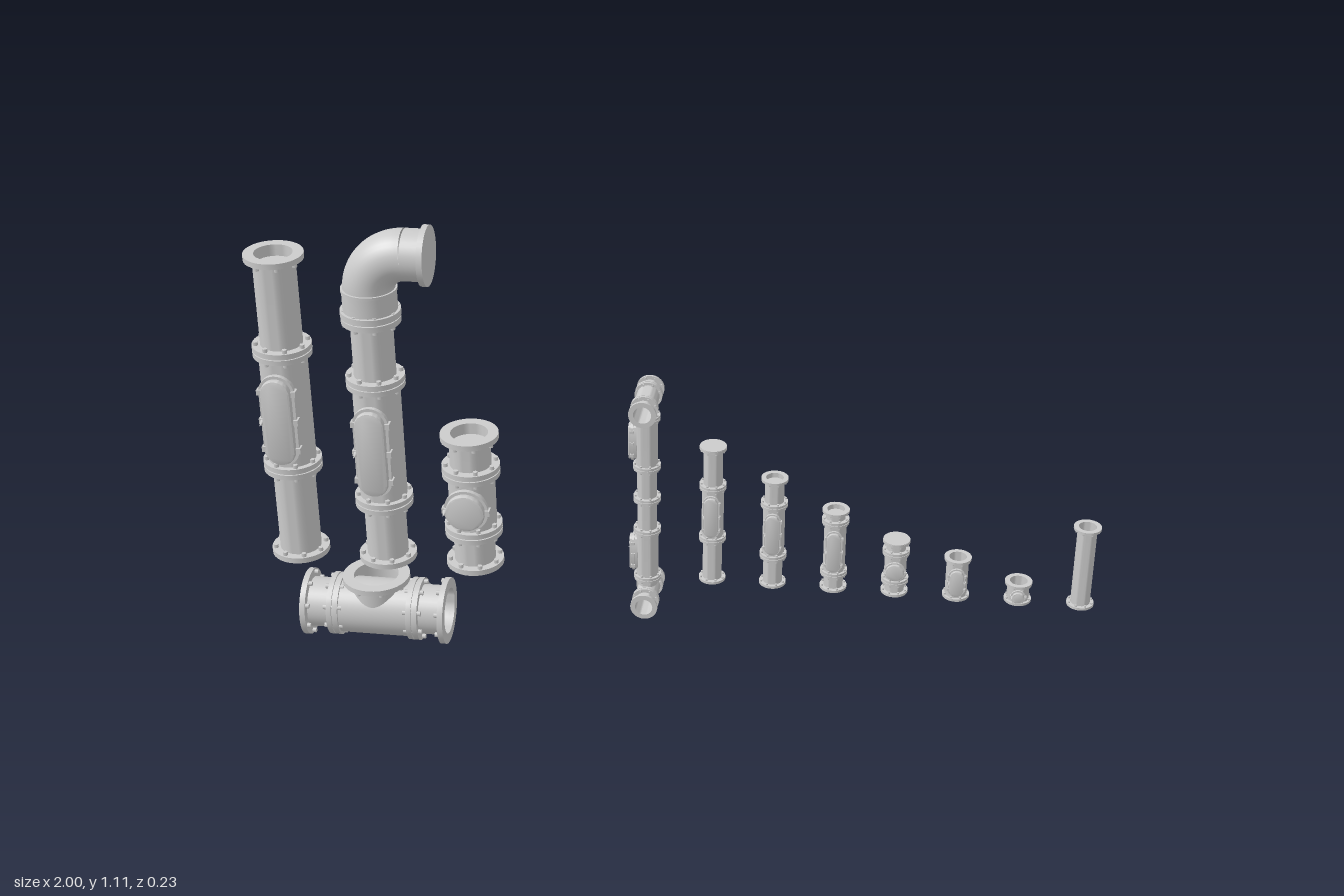
import * as THREE from 'three';
import { toCreasedNormals } from 'three/addons/utils/BufferGeometryUtils.js';

const steel = new THREE.MeshStandardMaterial({ color: 0xcccccc, side: THREE.DoubleSide });
const SMALL = 0.46; // small pipes relative to the large ones
const Z = -0.033;

function add(parent, name, geo, x = 0, y = 0, z = 0) {
  const m = new THREE.Mesh(geo, steel);
  m.name = name;
  m.position.set(x, y, z);
  parent.add(m);
  return m;
}

// Hollow ring or tube between two heights
function tube(r, inner, y0, y1) {
  const pts = [[inner, y0], [r, y0], [r, y1], [inner, y1], [inner, y0]];
  return toCreasedNormals(new THREE.LatheGeometry(pts.map(p => new THREE.Vector2(...p)), 36), 0.6);
}

// Ring of bolts sticking out of a flange
function bolts(parent, s, radius, y, length, count = 8) {
  for (let i = 0; i < count; i++) {
    const a = (i + 0.5) / count * Math.PI * 2;
    add(parent, 'bolt', new THREE.CylinderGeometry(0.006 * s, 0.006 * s, length, 6),
      Math.cos(a) * radius, y, Math.sin(a) * radius);
  }
}

// Straight pipe along y with end flanges, bolted joints and wider body sections
function run(name, s, length, { joints = [], bodies = [], r = 0.05, inner = 0.045, flange = 0.07,
  jointFlange = flange, bodyR = 0.057, top = true, bottom = true } = {}) {
  const g = new THREE.Group();
  g.name = name;
  const t = 0.014 * s;
  add(g, 'pipe', tube(r * s, inner * s, 0, length));
  for (const [a, b] of bodies) add(g, 'bodySection', tube(bodyR * s, r * s, a, b));
  const ends = [];
  if (bottom) ends.push([0, 1]);
  if (top) ends.push([length, -1]);
  for (const [y, d] of ends) {
    add(g, 'endFlange', tube(flange * s, inner * s, Math.min(y, y + d * t), Math.max(y, y + d * t)));
    bolts(g, s, (flange - 0.009) * s, y + d * 0.012 * s, 0.022 * s);
  }
  for (const y of joints) {
    add(g, 'jointFlange', tube(jointFlange * s, r * s, y - t, y - t * 0.1));
    add(g, 'jointFlange', tube(jointFlange * s, r * s, y + t * 0.1, y + t));
    add(g, 'gasket', tube((jointFlange - 0.004) * s, r * s, y - t * 0.1, y + t * 0.1));
    bolts(g, s, (jointFlange - 0.009) * s, y, 0.046 * s);
  }
  return g;
}

function stadium(w, h) {
  const k = Math.max(h - w, 0), sh = new THREE.Shape();
  sh.absarc(0, k, w, 0, Math.PI);
  sh.absarc(0, -k, w, Math.PI, Math.PI * 2);
  sh.closePath();
  return sh;
}

// Raised inspection cover facing +z; h is its half height
function hatch(parent, s, y, h, w = 0.043) {
  const g = new THREE.Group();
  g.name = 'inspectionHatch';
  g.position.y = y;
  parent.add(g);
  const layer = (name, inset, z0, z1, bevel) => {
    const geo = new THREE.ExtrudeGeometry(stadium(w * s - inset * s, h - inset * s), {
      depth: (z1 - z0 - bevel) * s, curveSegments: 14, bevelEnabled: bevel > 0,
      bevelThickness: bevel * s, bevelSize: bevel * s, bevelOffset: -bevel * s, bevelSegments: 2
    });
    add(g, name, toCreasedNormals(geo, 0.6), 0, 0, z0 * s);
  };
  layer('neck', 0.008, 0.046, 0.07, 0);
  layer('rim', 0, 0.064, 0.075, 0);
  layer('cover', 0.007, 0.074, 0.09, 0.005);
  // Clamps along both long edges, and a handle on the right edge
  const k = Math.max(h - w * s, 0);
  for (const sx of [-1, 1]) for (const sy of [-1, 0, 1]) {
    if (k === 0 && sy !== 0) continue;
    add(g, 'clamp', new THREE.BoxGeometry(0.012 * s, 0.014 * s, 0.02 * s), sx * (w - 0.002) * s, sy * k, 0.07 * s);
  }
  const handle = add(g, 'handle', new THREE.ConeGeometry(0.007 * s, 0.03 * s, 8), -(w - 0.005) * s, 0, 0.09 * s);
  handle.rotation.x = Math.PI / 2;
  return g;
}

function cap(parent, r, y) {
  add(parent, 'closingPlate', new THREE.CylinderGeometry(r, r, 0.003, 32), 0, y, 0);
}

// Upright pipe with one hatch
function station(root, { name, s, x, top, joints, hatchY, hatchH, hatchW, plate }) {
  const len = top - 0.235, local = joints.map(y => y - 0.235);
  const bodies = hatchY === undefined ? [] : [local.length ? local : [0, len]];
  const g = run(name, s, len, { joints: local, bodies });
  g.position.set(x, 0.235, Z);
  if (hatchY !== undefined) hatch(g, s, hatchY - 0.235, hatchH, hatchW);
  if (plate === 'flush') cap(g, 0.069 * s, len);
  if (plate === 'sunk') cap(g, 0.047 * s, len - 0.03 * s);
  root.add(g);
  return g;
}

// Tee lying along x with a flanged outlet on top
function tee(root) {
  const g = new THREE.Group();
  g.name = 'teePiece';
  g.position.set(-0.745, 0.084, Z);
  const main = run('teeRun', 1, 0.36, { joints: [0.08, 0.28], bodies: [[0.08, 0.28]], r: 0.062,
    inner: 0.057, flange: 0.083, jointFlange: 0.078, bodyR: 0.071 });
  main.rotation.z = -Math.PI / 2;
  main.position.x = -0.18;
  g.add(main);
  // Outlet neck, its lower edge fitted to the round body
  const neck = new THREE.CylinderGeometry(0.063, 0.063, 1, 40, 1, true);
  const p = neck.attributes.position;
  for (let i = 0; i < p.count; i++) {
    p.setY(i, p.getY(i) > 0 ? 0.085 : Math.sqrt(0.069 ** 2 - p.getZ(i) ** 2));
  }
  add(g, 'outletNeck', neck);
  add(g, 'outletFlange', tube(0.083, 0.055, 0.079, 0.093));
  bolts(g, 1, 0.074, 0.08, 0.018);
  root.add(g);
}

// Closed elbow on top of the second large pipe, turning towards +x
function elbow(root) {
  const g = new THREE.Group();
  g.name = 'elbow';
  g.position.set(-0.71, 0, Z);
  add(g, 'collar', tube(0.064, 0.045, 0.885, 0.955));
  add(g, 'collarFlange', tube(0.071, 0.045, 0.888, 0.903));
  bolts(g, 1, 0.062, 0.885, 0.04);
  add(g, 'band', tube(0.066, 0.06, 0.95, 0.957));
  const R = 0.09, path = new THREE.CurvePath();
  path.add(new THREE.QuadraticBezierCurve3(new THREE.Vector3(0, 0.95, 0), new THREE.Vector3(0, 0.95, 0), new THREE.Vector3(0, 0.951, 0)));
  const arc = new THREE.CatmullRomCurve3(Array.from({ length: 13 }, (_, i) => {
    const a = Math.PI - i / 12 * Math.PI / 2;
    return new THREE.Vector3(R + R * Math.cos(a), 0.952 + R * Math.sin(a), 0);
  }));
  add(g, 'bend', new THREE.TubeGeometry(arc, 20, 0.061, 36));
  const end = add(g, 'straightEnd', new THREE.CylinderGeometry(0.061, 0.061, 0.05, 36), R + 0.025, 1.042, 0);
  const plate = add(g, 'endPlate', new THREE.CylinderGeometry(0.071, 0.071, 0.014, 36), 0.139, 1.042, 0);
  end.rotation.z = plate.rotation.z = Math.PI / 2;
  root.add(g);
}

// Upright branch pipe between two short pipes along z, hatches facing -x
function riser(root) {
  const g = new THREE.Group(), s = SMALL;
  g.name = 'riser';
  g.position.set(-0.056, 0, 0.043);
  const stem = run('stem', s, 0.455, { joints: [0.022, 0.15, 0.235, 0.32, 0.448].slice(0, 5),
    bodies: [[0.022, 0.15], [0.32, 0.448]], top: false, bottom: false });
  stem.position.y = 0.257;
  stem.rotation.y = -Math.PI / 2;
  hatch(stem, s, 0.086, 0.05);
  hatch(stem, s, 0.384, 0.05);
  g.add(stem);
  for (const y of [0.231, 0.744]) {
    const cross = run('crossPipe', s, 0.141, { joints: [0.035, 0.106], bodies: [[0.035, 0.106]] });
    cross.rotation.x = Math.PI / 2;
    cross.position.set(0, y, -0.0705);
    g.add(cross);
  }
  root.add(g);
}

export function createModel() {
  const root = new THREE.Group();
  root.name = 'pipeSet';
  const L = 1, S = SMALL;
  const list = [
    { name: 'tallPipe', s: L, x: -0.93, top: 1.03, joints: [0.482, 0.787], hatchY: 0.63, hatchH: 0.118, plate: 'sunk' },
    { name: 'elbowPipe', s: L, x: -0.71, top: 0.885, joints: [0.4, 0.72], hatchY: 0.56, hatchH: 0.118 },
    { name: 'shortPipe', s: L, x: -0.492, top: 0.592, joints: [0.335, 0.495], hatchY: 0.418, hatchH: 0.054, hatchW: 0.054, plate: 'sunk' },
    { name: 'smallPipeA', s: S, x: 0.09, top: 0.597, joints: [0.352, 0.492], hatchY: 0.423, hatchH: 0.056, plate: 'flush' },
    { name: 'smallPipeB', s: S, x: 0.236, top: 0.524, joints: [0.315, 0.455], hatchY: 0.386, hatchH: 0.056, plate: 'sunk' },
    { name: 'smallPipeC', s: S, x: 0.382, top: 0.45, joints: [0.28, 0.42], hatchY: 0.35, hatchH: 0.056, plate: 'sunk' },
    { name: 'smallPipeD', s: S, x: 0.528, top: 0.378, joints: [0.27, 0.347], hatchY: 0.307, hatchH: 0.0248, hatchW: 0.054, plate: 'flush' },
    { name: 'smallPipeE', s: S, x: 0.674, top: 0.342, joints: [], hatchY: 0.288, hatchH: 0.038 },
    { name: 'smallPipeF', s: S, x: 0.82, top: 0.287, joints: [], hatchY: 0.261, hatchH: 0.0175, hatchW: 0.038 },
    { name: 'plainPipe', s: S, x: 0.967, top: 0.447, joints: [] }
  ];
  for (const item of list) station(root, item);
  elbow(root);
  tee(root);
  riser(root);
  return root;
}
